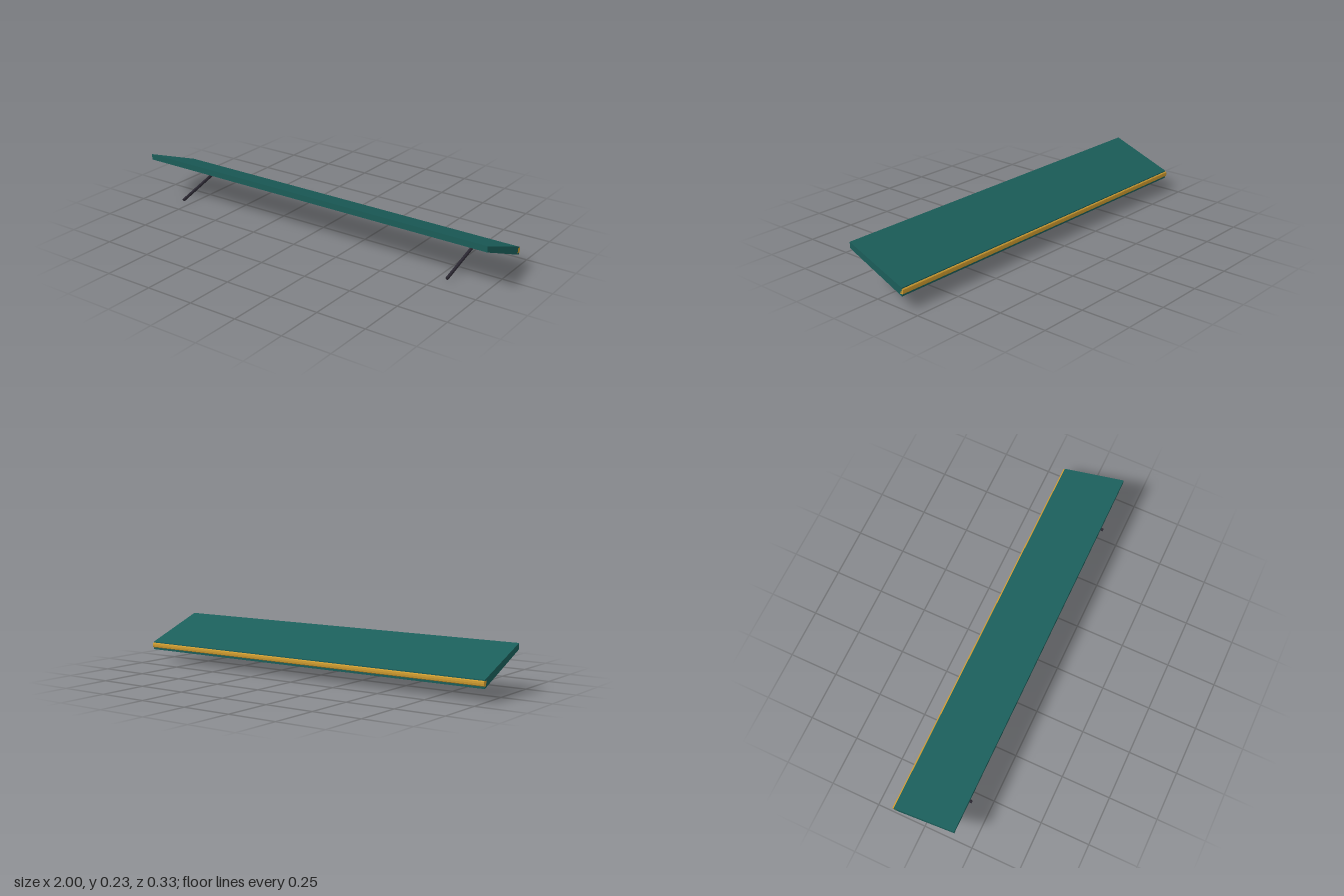
import * as THREE from 'three';

const mat = (name, color) => {
  const m = new THREE.MeshStandardMaterial({ color });
  m.name = name;
  return m;
};

// Extrudes a (z, y) profile along x, centred on x = 0.
function bar(name, profile, length, material) {
  const shape = new THREE.Shape(profile.map(([z, y]) => new THREE.Vector2(z, y)));
  const geo = new THREE.ExtrudeGeometry(shape, { depth: length, bevelEnabled: false });
  geo.translate(0, 0, -length / 2).rotateY(-Math.PI / 2);
  const mesh = new THREE.Mesh(geo, material);
  mesh.name = name;
  return mesh;
}

// Faceted rod between two points.
function rod(name, a, b, radius, material) {
  const dir = b.clone().sub(a);
  const geo = new THREE.CylinderGeometry(radius, radius, dir.length(), 8).toNonIndexed();
  geo.computeVertexNormals();
  const mesh = new THREE.Mesh(geo, material);
  mesh.position.copy(a).add(b).multiplyScalar(0.5);
  mesh.quaternion.setFromUnitVectors(new THREE.Vector3(0, 1, 0), dir.normalize());
  mesh.name = name;
  return mesh;
}

export function createModel() {
  const teal = mat('teal canopy', 0x1b5e5a);
  const gold = mat('gold trim', 0xd09c30);
  const dark = mat('dark metal', 0x2b2832);
  const model = new THREE.Group();
  model.name = 'awning';

  // Sloping canopy, slightly thicker at the back
  model.add(bar('canopy', [[0.167, 0.199], [0.167, 0.229], [-0.158, 0.104], [-0.158, 0.063]], 2, teal));

  // Trim along the back edge, with softened corners
  model.add(bar('backTrim', [
    [-0.145, 0.074], [-0.162, 0.074], [-0.1655, 0.0775],
    [-0.1665, 0.0865], [-0.1655, 0.0955], [-0.162, 0.099], [-0.145, 0.099],
  ], 2, gold));

  // Support struts
  for (const side of [-1, 1]) {
    model.add(rod(side > 0 ? 'leftStrut' : 'rightStrut',
      new THREE.Vector3(side * 0.8, 0.009, 0.155),
      new THREE.Vector3(side * 0.8, 0.096, -0.135), 0.008, dark));
  }
  return model;
}
